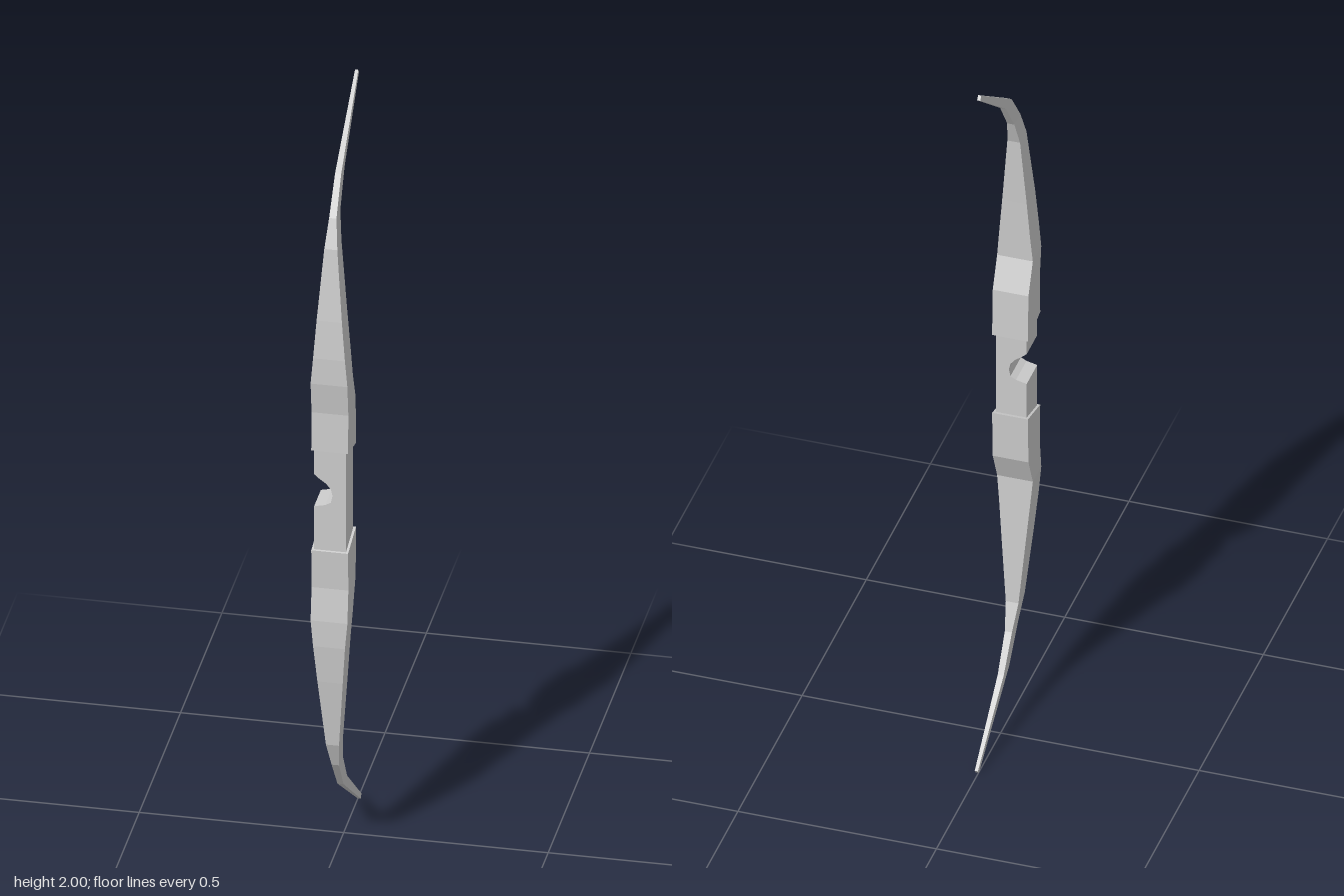
import * as THREE from 'three';

const material = new THREE.MeshStandardMaterial({ color: 0xcccccc, flatShading: true });

// Limb cross-sections, handle to tip: [front y, front z, back y, back z, half width, x offset]
const SECTIONS = [
  [1.137, 0.17, 1.115, 0.073, 0.045, 0],
  [1.24, 0.166, 1.245, 0.078, 0.045, 0],
  [1.325, 0.178, 1.325, 0.112, 0.045, 0],
  [1.395, 0.178, 1.395, 0.109, 0.039, 0],
  [1.495, 0.17, 1.495, 0.105, 0.031, -0.001],
  [1.68, 0.146, 1.68, 0.096, 0.016, -0.002],
  [1.75, 0.117, 1.75, 0.07, 0.009, -0.003],
  [1.837, 0.053, 1.837, 0.01, 0.0075, -0.003],
  [2.0, -0.172, 1.99, -0.18, 0.004, -0.003],
];

// Rectangular tube lofted through the sections; dir -1 mirrors it downwards
function limbGeometry(dir) {
  const positions = [];
  const indices = [];
  for (const [yf, zf, yb, zb, w, offset] of SECTIONS) {
    const c = offset * dir;
    const f = 1 + dir * (yf - 1);
    const b = 1 + dir * (yb - 1);
    positions.push(c - w, f, zf, c + w, f, zf, c + w, b, zb, c - w, b, zb);
  }
  const quad = (a, b, c, d) => {
    if (dir > 0) indices.push(a, b, c, a, c, d);
    else indices.push(a, c, b, a, d, c);
  };
  for (let i = 0; i < SECTIONS.length - 1; i++) {
    for (let k = 0; k < 4; k++) {
      const n = (k + 1) % 4;
      quad(i * 4 + k, i * 4 + n, i * 4 + 4 + n, i * 4 + 4 + k);
    }
  }
  const last = (SECTIONS.length - 1) * 4;
  quad(3, 2, 1, 0);
  quad(last, last + 1, last + 2, last + 3);
  const geometry = new THREE.BufferGeometry();
  geometry.setAttribute('position', new THREE.Float32BufferAttribute(positions, 3));
  geometry.setIndex(indices);
  const flat = geometry.toNonIndexed();
  flat.computeVertexNormals();
  return flat;
}

// Handle block with the arrow rest cut into its right side
function gripGeometry() {
  const outline = [
    [-0.039, 0.85], [0.039, 0.85], [0.039, 1.15], [-0.039, 1.15],
    [-0.039, 1.07], [-0.028, 1.06], [-0.009, 1.046], [0.002, 1.032],
    [0.006, 1.015], [0.002, 0.996], [-0.012, 0.988], [-0.039, 0.982],
  ];
  const shape = new THREE.Shape(outline.map(([x, y]) => new THREE.Vector2(x, y)));
  const geometry = new THREE.ExtrudeGeometry(shape, { depth: 0.082, bevelEnabled: false });
  return geometry.translate(0, 0, 0.083);
}

export function createModel() {
  const bow = new THREE.Group();
  bow.name = 'bow';
  const add = (name, geometry) => {
    const mesh = new THREE.Mesh(geometry, material);
    mesh.name = name;
    bow.add(mesh);
  };
  add('grip', gripGeometry());
  add('upperLimb', limbGeometry(1));
  add('lowerLimb', limbGeometry(-1));
  return bow;
}
